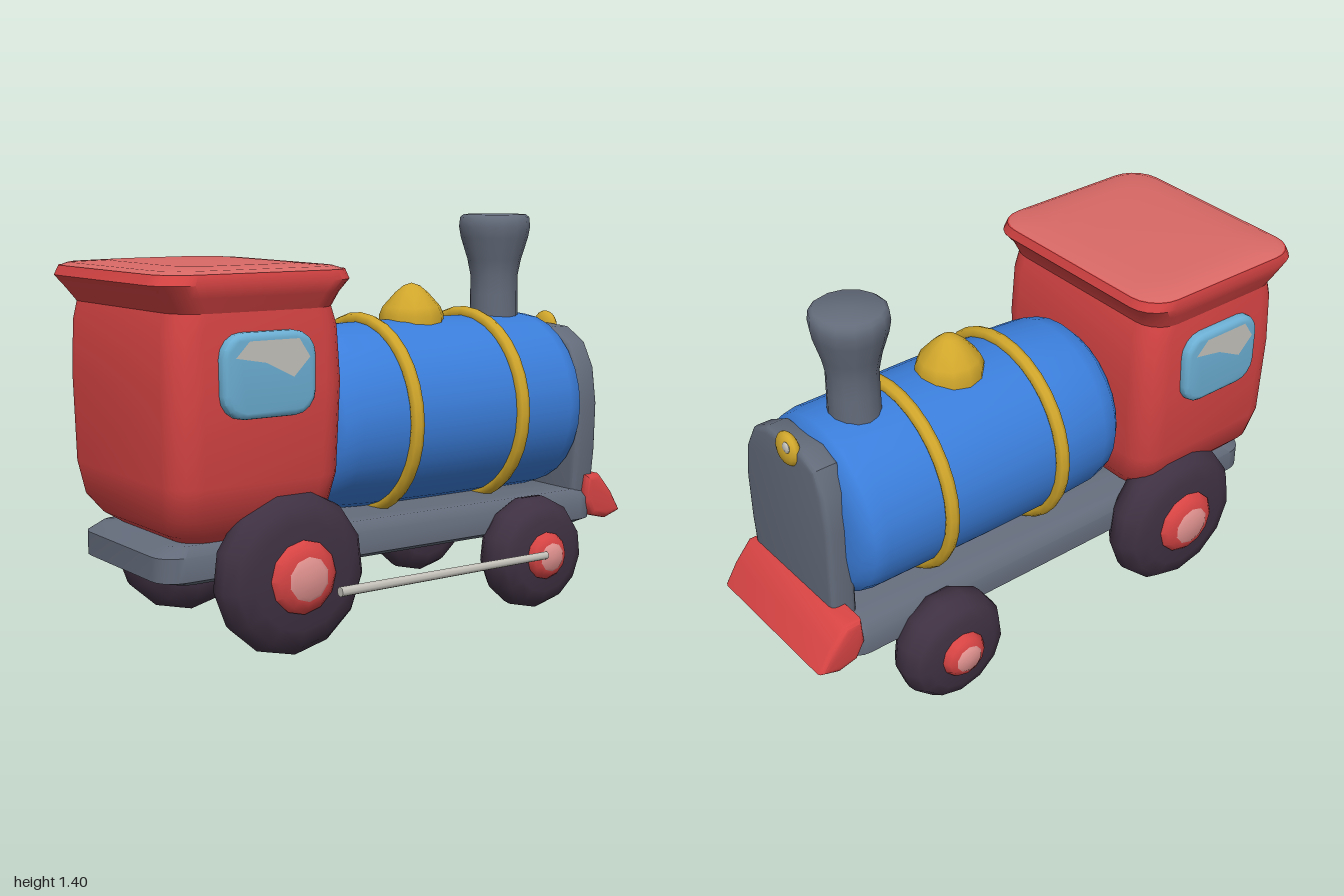
import * as THREE from 'three';
import { toCreasedNormals } from 'three/addons/utils/BufferGeometryUtils.js';

const paint = (name, color) => {
  const m = new THREE.MeshStandardMaterial({ color });
  m.name = name;
  return m;
};

// Stack of rounded rectangles [y, x0, x1, z0, z1, cornerRadius], closed at both ends
function loft(sections, steps = 5) {
  const pos = [], index = [], n = 4 * (steps + 1);
  for (const [y, x0, x1, z0, z1, r] of sections) {
    const corners = [[x1 - r, z1 - r], [x0 + r, z1 - r], [x0 + r, z0 + r], [x1 - r, z0 + r]];
    corners.forEach(([cx, cz], q) => {
      for (let i = 0; i <= steps; i++) {
        const a = (q + i / steps) * Math.PI / 2;
        pos.push(cx + r * Math.cos(a), y, cz + r * Math.sin(a));
      }
    });
  }
  for (let s = 0; s < sections.length - 1; s++) {
    for (let i = 0; i < n; i++) {
      const a = s * n + i, b = s * n + (i + 1) % n;
      index.push(a, a + n, b, b, a + n, b + n);
    }
  }
  const top = (sections.length - 1) * n;
  for (let i = 1; i < n - 1; i++) {
    index.push(0, i, i + 1, top, top + i + 1, top + i);
  }
  const g = new THREE.BufferGeometry();
  g.setAttribute('position', new THREE.Float32BufferAttribute(pos, 3));
  g.setIndex(index);
  return toCreasedNormals(g, 0.8);
}

const lathe = (points, sides, crease = 0.9) =>
  toCreasedNormals(new THREE.LatheGeometry(points.map(p => new THREE.Vector2(...p)), sides), crease);

function extrude(points, depth, bevel, crease = 0.6) {
  const shape = new THREE.Shape(points.map(p => new THREE.Vector2(...p)));
  const g = new THREE.ExtrudeGeometry(shape, {
    depth, bevelEnabled: true, bevelSize: bevel, bevelThickness: bevel, bevelSegments: 3,
  });
  return toCreasedNormals(g, crease);
}

function roundedRect(w, h, r) {
  const pts = [];
  [[1, 1], [-1, 1], [-1, -1], [1, -1]].forEach(([sx, sy], q) => {
    for (let i = 0; i <= 4; i++) {
      const a = (q + i / 4) * Math.PI / 2;
      pts.push([sx * (w / 2 - r) + r * Math.cos(a), sy * (h / 2 - r) + r * Math.sin(a)]);
    }
  });
  return pts;
}

export function createModel() {
  const red = paint('red', 0xd84444);
  const roofPink = paint('faded red', 0xd96966);
  const hubPink = paint('pale red', 0xe29390);
  const blue = paint('blue', 0x3b7edb);
  const grey = paint('slate grey', 0x636b7a);
  const gold = paint('gold', 0xd0a62b);
  const tyre = paint('dark purple', 0x3f3142);
  const glass = paint('window blue', 0x6cafd3);
  const silver = paint('silver', 0xc4c2ba);

  const model = new THREE.Group();
  model.name = 'toyLocomotive';
  const add = (name, geometry, material, x = 0, y = 0, z = 0, parent = model) => {
    const mesh = new THREE.Mesh(geometry, material);
    mesh.name = name;
    mesh.position.set(x, y, z);
    parent.add(mesh);
    return mesh;
  };

  // Chassis
  add('chassis', loft([
    [0.27, -0.88, 0.84, -0.27, 0.25, 0.06],
    [0.29, -0.95, 0.88, -0.31, 0.29, 0.08],
    [0.37, -0.95, 0.88, -0.31, 0.29, 0.08],
    [0.40, -0.90, 0.86, -0.28, 0.26, 0.06],
  ]), grey);

  // Cab with rounded base, and a flared roof
  add('cab', loft([
    [0.39, -0.83, -0.43, -0.26, 0.24, 0.08],
    [0.43, -0.89, -0.37, -0.32, 0.30, 0.09],
    [0.49, -0.93, -0.33, -0.375, 0.35, 0.10],
    [0.60, -0.945, -0.315, -0.405, 0.38, 0.10],
    [0.90, -0.95, -0.305, -0.415, 0.39, 0.10],
    [1.08, -0.945, -0.315, -0.41, 0.385, 0.10],
    [1.15, -0.93, -0.335, -0.405, 0.38, 0.10],
  ]), red);
  add('roofRim', loft([
    [1.14, -0.93, -0.335, -0.405, 0.38, 0.10],
    [1.19, -0.965, -0.315, -0.425, 0.40, 0.10],
    [1.23, -1.0, -0.28, -0.44, 0.415, 0.11],
    [1.262, -0.985, -0.29, -0.435, 0.405, 0.11],
  ]), red);
  add('roofTop', loft([
    [1.26, -0.985, -0.29, -0.435, 0.405, 0.11],
    [1.272, -0.96, -0.32, -0.41, 0.38, 0.11],
    [1.28, -0.86, -0.42, -0.31, 0.28, 0.11],
  ]), roofPink);

  // Cab windows with a pale glint in the upper corner
  const pane = extrude(roundedRect(0.30, 0.23, 0.06), 0.03, 0.02);
  const glint = new THREE.ShapeGeometry(new THREE.Shape([
    [-0.13, 0.06], [-0.02, 0.04], [0.08, -0.01], [0.14, 0.05], [0.10, 0.11], [-0.08, 0.11],
  ].map(p => new THREE.Vector2(...p)).reverse()));
  for (const side of [1, -1]) {
    const window = new THREE.Group();
    window.name = side > 0 ? 'rightWindow' : 'leftWindow';
    window.position.set(-0.63, 0.945, side > 0 ? 0.375 : -0.395);
    if (side < 0) window.rotation.y = Math.PI;
    add('pane', pane, glass, 0, 0, 0, window);
    add('glint', glint, silver, 0, 0, 0.052, window);
    model.add(window);
  }

  // Boiler with two bands
  const boilerY = 0.72, boilerZ = -0.01;
  add('boiler', lathe([
    [0, -0.30], [0.22, -0.30], [0.27, -0.295], [0.305, -0.26], [0.32, -0.20], [0.327, -0.05],
    [0.33, 0.25], [0.327, 0.72], [0.318, 0.77], [0.28, 0.80], [0.22, 0.815], [0, 0.815],
  ], 28).rotateZ(-Math.PI / 2), blue, 0, boilerY, boilerZ);
  for (const x of [0.01, 0.48]) {
    add('boilerBand', new THREE.TorusGeometry(0.335, 0.025, 8, 32).rotateY(Math.PI / 2),
      gold, x, boilerY, boilerZ);
  }

  // Steam dome and chimney
  add('steamDome', lathe([
    [0, 1.0], [0.115, 1.0], [0.118, 1.06], [0.105, 1.09], [0.06, 1.14], [0.03, 1.165], [0, 1.175],
  ], 12), gold, 0.24, 0, -0.02);
  add('chimney', lathe([
    [0, 1.0], [0.09, 1.0], [0.088, 1.12], [0.088, 1.19], [0.10, 1.25], [0.125, 1.33],
    [0.132, 1.37], [0.128, 1.405], [0.115, 1.415], [0, 1.415],
  ], 14), grey, 0.625, 0, -0.02);

  // Front plate, lamp and bumper
  add('frontPlate', extrude([
    [-0.235, 0.32], [0.19, 0.32], [0.195, 0.75], [0.18, 0.88], [0.145, 0.96], [0.08, 0.985],
    [-0.12, 0.975], [-0.20, 0.93], [-0.245, 0.85], [-0.265, 0.72], [-0.26, 0.55],
  ], 0.055, 0.022).rotateY(Math.PI / 2), grey, 0.802);
  const lamp = add('lamp', new THREE.SphereGeometry(0.06, 14, 10), gold, 0.875, 0.985, -0.01);
  lamp.scale.x = 0.5;
  const lampGlint = add('lampGlint', new THREE.SphereGeometry(0.02, 8, 6), silver, 0.897, 1.01, -0.035);
  lampGlint.scale.x = 0.4;
  add('bumper', extrude([
    [0.85, 0.43], [0.845, 0.36], [0.87, 0.315], [0.93, 0.30], [0.975, 0.312], [0.94, 0.365], [0.885, 0.43],
  ], 0.57, 0.022, 0.9), red, 0, 0, -0.298);

  // Wheels with domed hubs
  const wheel = (name, x, r, hubR, side) => {
    const g = new THREE.Group();
    g.name = name;
    g.position.set(x, r + 0.01, side > 0 ? 0.335 : -0.353);
    if (side < 0) g.rotation.y = Math.PI;
    add('tyre', lathe([
      [0, -0.08], [r * 0.65, -0.087], [r * 0.86, -0.07], [r * 0.98, -0.03], [r, 0],
      [r * 0.98, 0.03], [r * 0.86, 0.07], [r * 0.65, 0.087], [0, 0.08],
    ], 13).rotateX(Math.PI / 2), tyre, 0, 0, 0, g);
    add('hub', lathe([
      [0, 0.06], [hubR, 0.06], [hubR, 0.09], [hubR * 0.85, 0.108], [hubR * 0.62, 0.12], [0, 0.12],
    ], 12).rotateX(Math.PI / 2), red, 0, 0, 0, g);
    add('hubCap', lathe([
      [0, 0.115], [hubR * 0.62, 0.119], [hubR * 0.5, 0.127], [0, 0.13],
    ], 10).rotateX(Math.PI / 2), hubPink, 0, 0, 0, g);
    model.add(g);
  };
  for (const side of [1, -1]) {
    wheel('rearWheel', -0.515, 0.275, 0.122, side);
    wheel('frontWheel', 0.515, 0.205, 0.085, side);
  }

  // Connecting rod on one side
  const rod = add('connectingRod', new THREE.CylinderGeometry(0.014, 0.017, 0.88, 8), silver, 0.03, 0.232, 0.473);
  rod.rotation.z = -Math.PI / 2;

  return model;
}
